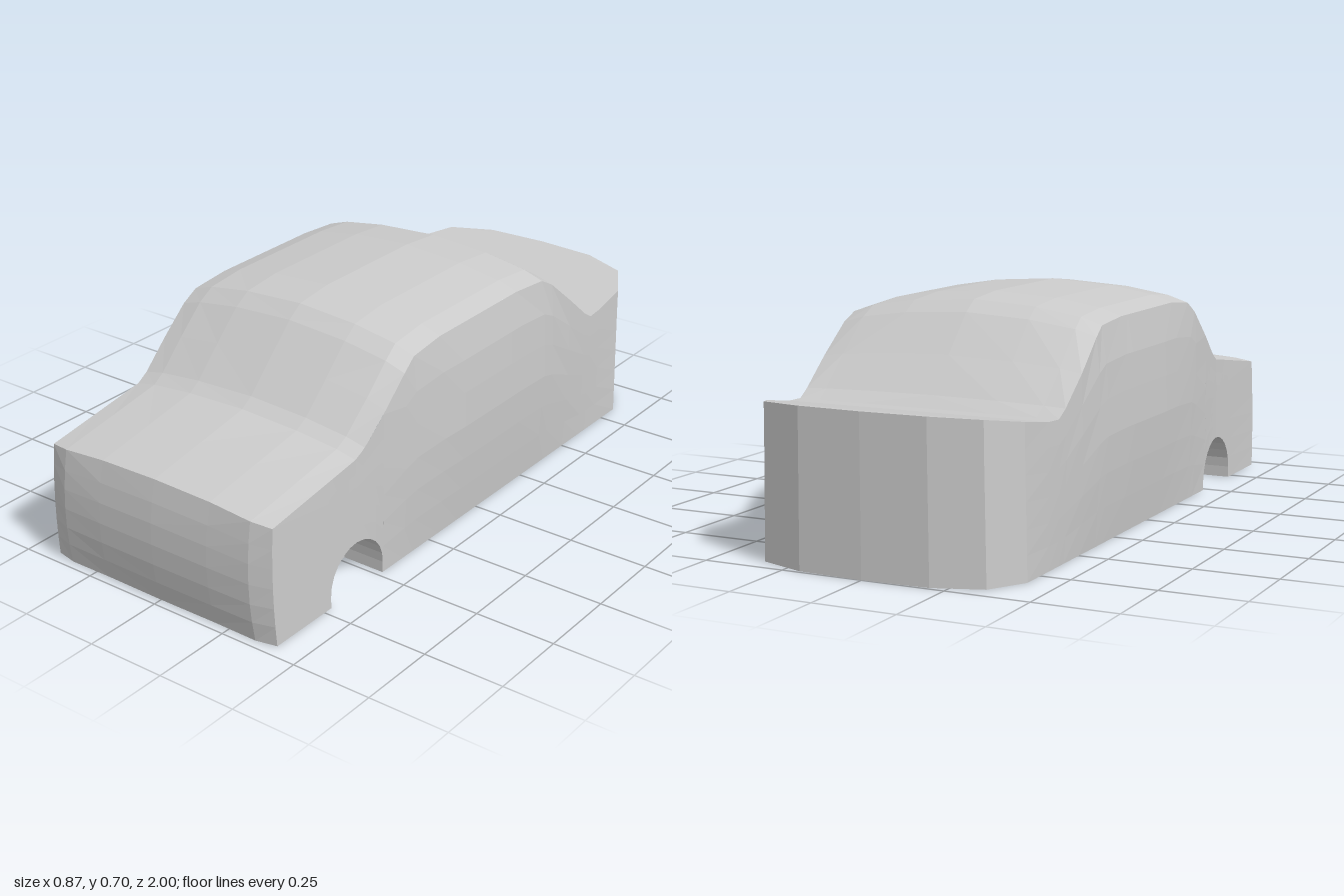
import * as THREE from 'three';

const material = new THREE.MeshStandardMaterial({ color: 0xcccccc, flatShading: true });

// Piecewise linear lookup in [[key, value, ...], ...] with rising keys
function lerpTable(table, k, col = 1) {
  if (k <= table[0][0]) return table[0][col];
  for (let i = 1; i < table.length; i++) {
    const a = table[i - 1], b = table[i];
    if (k <= b[0]) return a[col] + (b[col] - a[col]) * (k - a[0]) / (b[0] - a[0]);
  }
  return table[table.length - 1][col];
}

// Centreline profile: z, height, drop from centre to side edge
const PROFILE = [
  [-1, 0.457, 0], [-0.97, 0.455, 0], [-0.7, 0.412, 0], [-0.64, 0.41, 0], [-0.6, 0.442, 0.008],
  [-0.39, 0.655, 0.05], [-0.34, 0.688, 0.056], [-0.2, 0.7, 0.057], [0.2, 0.7, 0.057],
  [0.33, 0.685, 0.056], [0.38, 0.65, 0.054], [0.56, 0.475, 0.038], [0.6, 0.45, 0.035], [0.97, 0.385, 0.025],
];
const BULGE_Z = [[-0.83, 0], [-0.6, 0.45], [-0.35, 0.9], [-0.15, 1], [0.1, 1], [0.35, 0.7], [0.6, 0.1], [0.97, 0]];
const BULGE_Y = [[0, 0], [0.17, 0.65], [0.33, 1], [0.5, 0.82], [0.6, 0.45], [0.65, 0]];
const CROWN = [[0, 0], [0.49, 0.22], [0.84, 0.62], [1, 1]];
const FRONT_PLAN = [[0, 0], [0.49, 0.003], [0.84, 0.01], [1, 0.034]];
const REAR_PLAN = [[0, -1], [0.49, -0.99], [0.84, -0.94], [1, -0.83]];
const COLUMNS = [0, 0.49, 0.84, 1];
const ROWS = [0, 0.17, 0.33, 0.5, 0.67, 0.83, 1];
const WELL = { z: 0.6, y: 0.035, r: 0.12, x: 0.272 };

const halfWidth = (z, y) =>
  0.402 + 0.008 * Math.max(0, 1 - y / 0.4) + 0.03 * lerpTable(BULGE_Z, z) * lerpTable(BULGE_Y, y);
const topY = (c, z) => lerpTable(PROFILE, z) - lerpTable(PROFILE, z, 2) * lerpTable(CROWN, c);
const rearZ = (c) => lerpTable(REAR_PLAN, c);
const frontZ = (c, t) => 1 - lerpTable(FRONT_PLAN, c) - 0.028 * (2 * t - 1) ** 2 * (1 - 0.7 * c ** 4);
const clampZ = (c, t, z) => Math.max(rearZ(c), Math.min(z, frontZ(c, t)));

// Wheel arch outline, front to rear
const ARCH = [[WELL.z + WELL.r, 0]];
for (let i = 0; i <= 12; i++) {
  const a = (i / 12) * Math.PI;
  ARCH.push([WELL.z + WELL.r * Math.cos(a), WELL.y + WELL.r * Math.sin(a)]);
}
ARCH.push([WELL.z - WELL.r, 0]);

// Stations from front to rear, with the lower edge of the side wall
const STATIONS = [
  [1, 0], ...ARCH.slice(0, 1), ...ARCH.slice(1, -1), ...ARCH.slice(-1),
  ...[0.38, 0.33, 0.2, 0.1, 0, -0.15, -0.2, -0.34, -0.39, -0.5, -0.6, -0.64, -0.7, -0.83, -0.94, -0.99, -1].map((z) => [z, 0]),
];
const TOP_STATIONS = [1, 0.78, 0.6, 0.56, 0.47, 0.38, 0.33, 0.2, 0, -0.2, -0.34, -0.39, -0.5, -0.6, -0.64, -0.7, -0.83, -0.94, -0.97, -0.99, -1];

// Surface through a grid of points; side -1 mirrors it in x
function grid(points, side) {
  const out = [];
  const tri = (a, b, c) => {
    const area = new THREE.Vector3().subVectors(b, a).cross(new THREE.Vector3().subVectors(c, a)).length();
    if (area < 1e-9) return;
    for (const p of side > 0 ? [a, b, c] : [a, c, b]) out.push(p.x * side, p.y, p.z);
  };
  for (let i = 0; i + 1 < points.length; i++) {
    for (let j = 0; j + 1 < points[i].length; j++) {
      const a = points[i][j], b = points[i][j + 1], c = points[i + 1][j + 1], d = points[i + 1][j];
      tri(a, b, c);
      tri(a, c, d);
    }
  }
  const g = new THREE.BufferGeometry();
  g.setAttribute('position', new THREE.Float32BufferAttribute(out, 3));
  g.computeVertexNormals();
  return g;
}

// Point on the top skin at column c
function topPoint(c, station) {
  const z = clampZ(c, 1, station);
  const y = topY(c, z);
  return new THREE.Vector3(c * halfWidth(z, topY(1, z)), y, z);
}

// Point on an end wall, t running from sill to top
function endPoint(c, t, front) {
  const top = topPoint(c, front ? 1 : -1);
  const z = front ? frontZ(c, t) : rearZ(c);
  const y = t * top.y;
  return new THREE.Vector3(c * halfWidth(z, y), y, z);
}

export function createModel() {
  const model = new THREE.Group();
  model.name = 'carBody';
  const add = (name, geometry) => {
    const mesh = new THREE.Mesh(geometry, material);
    mesh.name = name;
    model.add(mesh);
  };
  const rowsDown = [...ROWS].reverse();

  for (const side of [1, -1]) {
    const label = side > 0 ? 'left' : 'right';

    // Bonnet, windows, roof and boot lid as one skin
    add(label + 'TopSkin', grid(TOP_STATIONS.map((z) => COLUMNS.map((c) => topPoint(c, z))), side));

    // Bulging side wall, cut out over the wheel arch
    add(label + 'SideWall', grid(STATIONS.map(([s, low]) => rowsDown.map((t) => {
      const z = clampZ(1, t, s);
      const y = low + t * (topY(1, clampZ(1, 1, s)) - low);
      return new THREE.Vector3(halfWidth(z, y), y, z);
    })), side));

    // Nose and tail
    add(label + 'Nose', grid(ROWS.map((t) => COLUMNS.map((c) => endPoint(c, t, true))), side));
    add(label + 'Tail', grid(rowsDown.map((t) => COLUMNS.map((c) => endPoint(c, t, false))), side));

    // Front wheel well: arched lining and inner wall
    add(label + 'WheelWellLining', grid(ARCH.map(([z, y]) =>
      [halfWidth(z, y), WELL.x].map((x) => new THREE.Vector3(x, y, z))), side));
    add(label + 'WheelWellWall', grid(ARCH.map(([z, y]) =>
      [y, 0].map((h) => new THREE.Vector3(WELL.x, h, z))), side));
  }

  // Flat underside with notches for the wheel wells
  const half = COLUMNS.map((c) => endPoint(c, 0, true)).map((p) => [p.x, p.z]);
  const [zf, zr] = [WELL.z + WELL.r, WELL.z - WELL.r];
  half.push([halfWidth(zf, 0), zf], [WELL.x, zf], [WELL.x, zr], [halfWidth(zr, 0), zr]);
  for (const c of [...COLUMNS].reverse()) {
    const p = endPoint(c, 0, false);
    half.push([p.x, p.z]);
  }
  const mirrored = half.slice(1, -1).reverse().map(([x, z]) => [-x, z]);
  const outline = [...half, ...mirrored].map(([x, z]) => new THREE.Vector2(x, z));
  add('underside', new THREE.ShapeGeometry(new THREE.Shape(outline)).rotateX(Math.PI / 2));

  return model;
}
